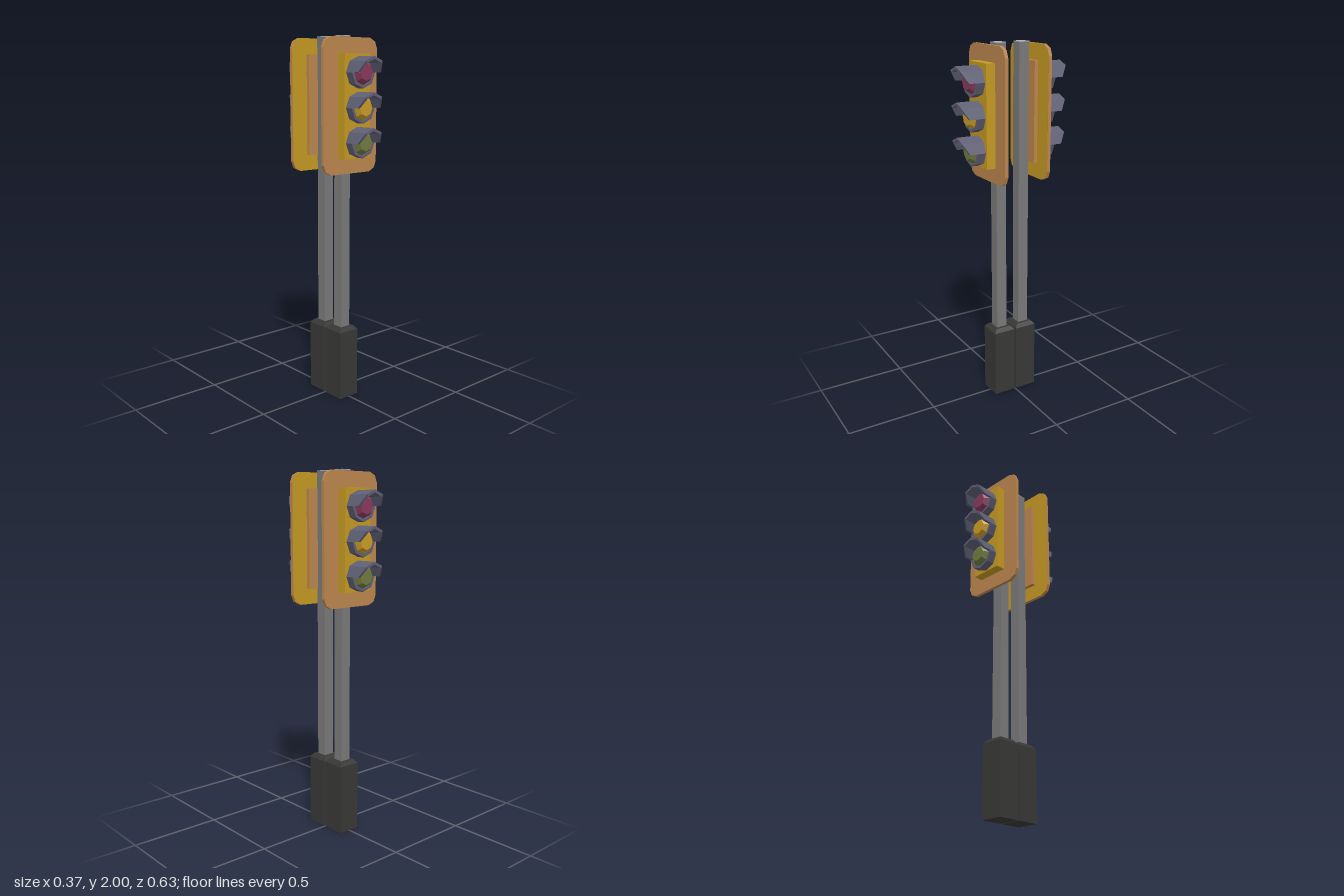
import * as THREE from 'three';

const mat = (name, color) => {
  const m = new THREE.MeshStandardMaterial({ color });
  m.name = name;
  return m;
};

// Faceted normals for low-poly parts
function faceted(geo) {
  const g = geo.index ? geo.toNonIndexed() : geo;
  g.computeVertexNormals();
  return g;
}

// Eight-sided lamp visor: long stepped hood over the upper half, short ring below
function visorGeometry() {
  const pos = [];
  const OUT = 0.081, INN = 0.066, BACK = 0.188, LOW = 0.235, SIDE = 0.279, TIP = 0.314;
  const p = (i, r, z) => [r * Math.cos(i * Math.PI / 4), r * Math.sin(i * Math.PI / 4), z];
  const quad = (a, b, c, d) => pos.push(...a, ...b, ...c, ...a, ...c, ...d);
  for (let i = 0; i < 8; i++) {
    const j = i + 1;
    const end = k => (i >= 4 ? LOW : (k === 0 || k === 4 ? SIDE : TIP));
    const zi = end(i), zj = end(j);
    quad(p(i, OUT, BACK), p(j, OUT, BACK), p(j, OUT, zj), p(i, OUT, zi));
    quad(p(j, INN, BACK), p(i, INN, BACK), p(i, INN, zi), p(j, INN, zj));
    quad(p(i, OUT, zi), p(j, OUT, zj), p(j, INN, zj), p(i, INN, zi));
  }
  // undersides of the hood where it steps out past the ring
  quad(p(0, OUT, LOW), p(0, OUT, SIDE), p(0, INN, SIDE), p(0, INN, LOW));
  quad(p(4, INN, LOW), p(4, INN, SIDE), p(4, OUT, SIDE), p(4, OUT, LOW));
  const g = new THREE.BufferGeometry();
  g.setAttribute('position', new THREE.Float32BufferAttribute(pos, 3));
  g.computeVertexNormals();
  return g;
}

// Backing plate outline with clipped, two-step corners
function plateShape() {
  const w = 0.187, h = 0.355;
  const corner = [[w, h - 0.055], [w - 0.015, h - 0.018], [w - 0.052, h]];
  const rev = [...corner].reverse();
  const pts = [
    ...corner,
    ...rev.map(([x, y]) => [-x, y]),
    ...corner.map(([x, y]) => [-x, -y]),
    ...rev.map(([x, y]) => [x, -y]),
  ];
  return new THREE.Shape(pts.map(([x, y]) => new THREE.Vector2(x, y)));
}

export function createModel() {
  const mats = {
    base: mat('charcoal', 0x383836),
    pole: mat('pole grey', 0x7a7a7a),
    cap: mat('light grey', 0xb0b0b0),
    brown: mat('orange brown', 0xbd874e),
    yellow: mat('housing yellow', 0xc59a22),
    visor: mat('slate', 0x606076),
    red: mat('red lens', 0x8a3a5c),
    amber: mat('amber lens', 0xcb9d24),
    green: mat('green lens', 0x727c3e),
  };

  const visorGeo = visorGeometry();
  const lensGeo = faceted(new THREE.LatheGeometry(
    [[0.066, 0.188], [0.063, 0.232], [0.043, 0.257], [0, 0.257]]
      .map(([r, y]) => new THREE.Vector2(r, y)), 8).rotateX(Math.PI / 2));
  const shape = plateShape();

  function createSignal() {
    const g = new THREE.Group();
    const add = (name, geo, material, x = 0, y = 0, z = 0) => {
      const m = new THREE.Mesh(geo, material);
      m.name = name;
      m.position.set(x, y, z);
      g.add(m);
      return m;
    };
    const box = (name, material, w, y0, y1, z0, z1) =>
      add(name, new THREE.BoxGeometry(w, y1 - y0, z1 - z0), material, 0, (y0 + y1) / 2, (z0 + z1) / 2);

    // base with chamfered top
    box('base', mats.base, 0.127, 0, 0.39, 0.005, 0.132);
    add('baseChamfer', faceted(new THREE.CylinderGeometry(
      0.046 * Math.SQRT2, 0.0635 * Math.SQRT2, 0.02, 4).rotateY(Math.PI / 4)), mats.base, 0, 0.4, 0.0685);

    // pole and its cap
    box('pole', mats.pole, 0.06, 0.4, 1.996, 0.04, 0.1);
    box('poleCap', mats.cap, 0.06, 1.996, 2, 0.04, 0.1);

    // backing plate, yellow on its rear face
    add('backPlate', new THREE.ExtrudeGeometry(shape, { depth: 0.019, bevelEnabled: false }),
      mats.brown, 0, 1.635, 0.119);
    add('backPlateRear', new THREE.ShapeGeometry(shape).rotateY(Math.PI), mats.yellow, 0, 1.635, 0.1175);

    // housing, brown behind the plate and yellow in front
    box('housingRear', mats.brown, 0.18, 1.365, 1.905, 0.097, 0.119);
    box('housingFront', mats.yellow, 0.18, 1.365, 1.905, 0.138, 0.19);

    // three lamps
    [['red', 1.81], ['amber', 1.63], ['green', 1.45]].forEach(([c, y]) => {
      add(c + 'Visor', visorGeo, mats.visor, 0, y, 0);
      add(c + 'Lens', lensGeo, mats[c], 0, y, 0);
    });
    return g;
  }

  // two signals standing back to back
  const model = new THREE.Group();
  model.name = 'trafficSignals';
  ['frontSignal', 'backSignal'].forEach((name, i) => {
    const s = createSignal();
    s.name = name;
    s.rotation.y = i * Math.PI;
    model.add(s);
  });
  return model;
}
